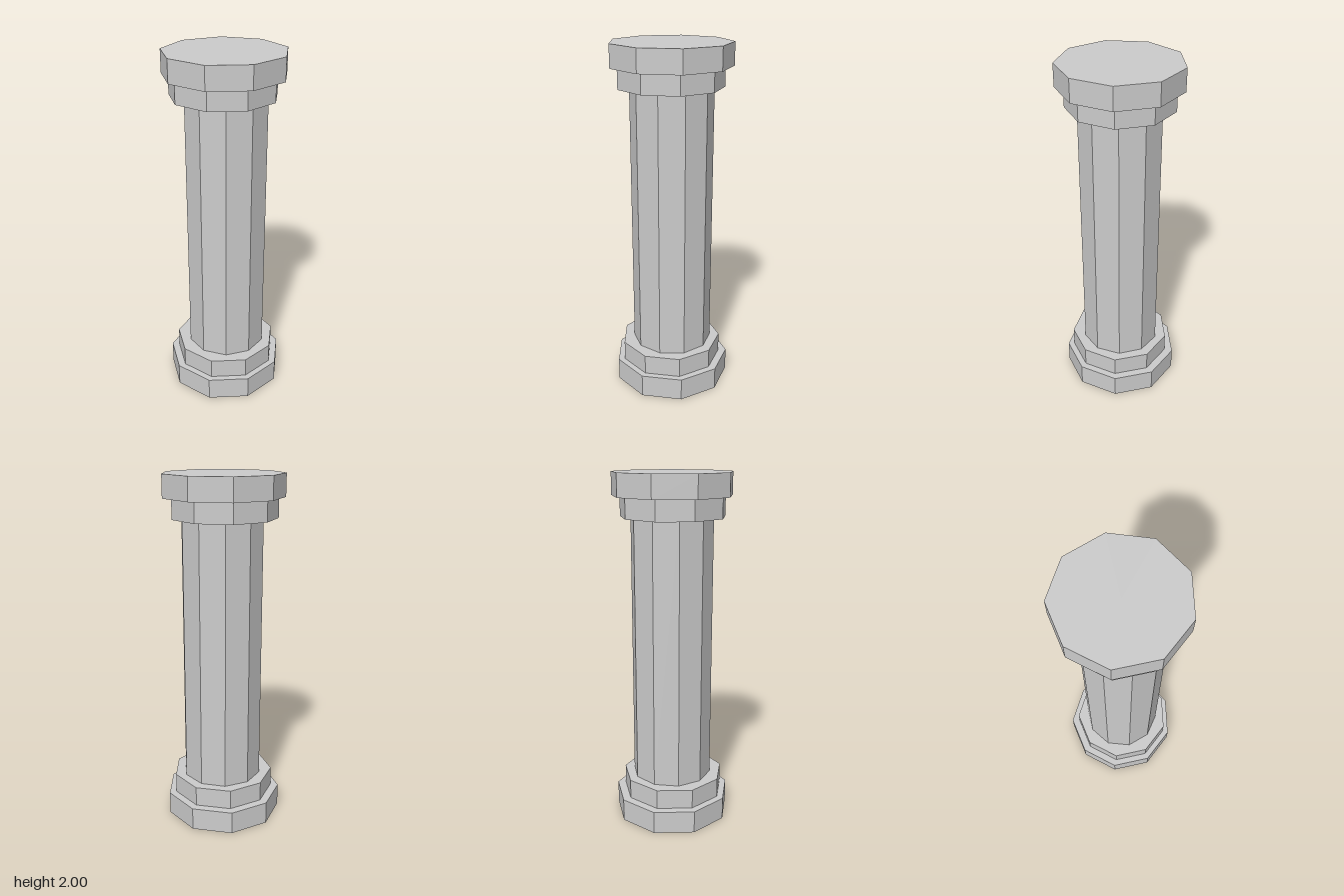
import * as THREE from 'three';

export function createModel() {
  const group = new THREE.Group();
  const material = new THREE.MeshStandardMaterial({ color: 0xcccccc, flatShading: true });

  // Upright prism between two heights, with one corner pointing to the back
  function addPrism(name, sides, radius, bottom, top, x, z) {
    const geometry = new THREE.CylinderGeometry(radius, radius, top - bottom, sides, 1, false, Math.PI);
    const mesh = new THREE.Mesh(geometry, material);
    mesh.name = name;
    mesh.position.set(x, (bottom + top) / 2, z);
    group.add(mesh);
  }

  // Stepped nine-sided base
  addPrism('baseSlab', 9, 0.338, 0, 0.132, 0, 0.009);
  addPrism('baseStep', 9, 0.295, 0.132, 0.246, 0.005, 0.013);

  // Ten-sided shaft
  addPrism('shaft', 10, 0.23, 0.246, 1.762, 0.005, 0.005);

  // Stepped nine-sided capital
  addPrism('capitalStep', 9, 0.295, 1.762, 1.874, -0.005, 0.013);
  addPrism('capitalSlab', 9, 0.338, 1.874, 2, 0, 0.009);

  return group;
}
